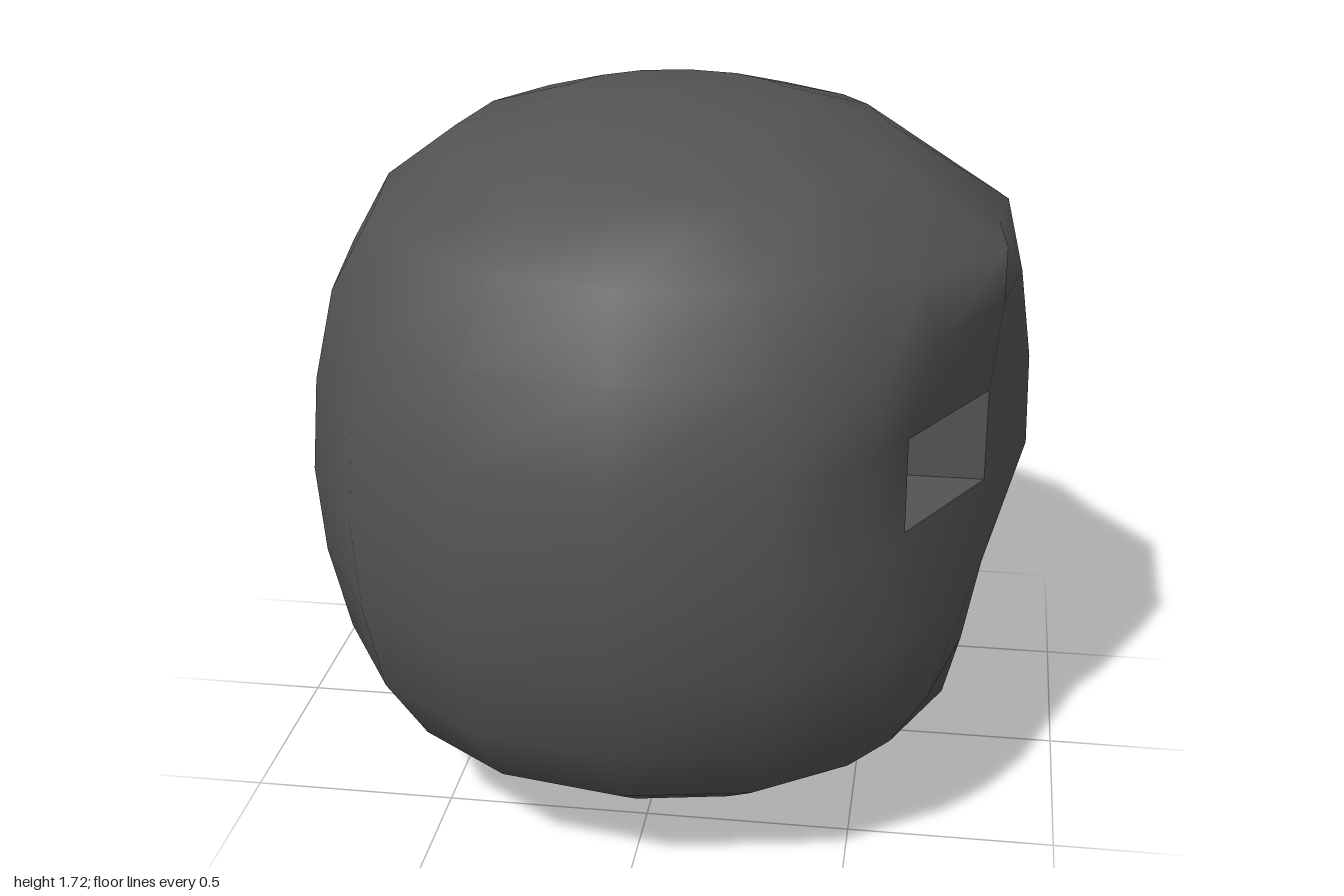
import * as THREE from 'three';

// Ring heights and ring sizes, bottom to top (poles are added separately)
const HEIGHTS = [0.03, 0.11, 0.24, 0.41, 0.63, 0.85, 1.08, 1.3, 1.48, 1.61, 1.69];
const SIZES = [0.33, 0.61, 0.81, 0.925, 0.98, 1, 0.98, 0.925, 0.81, 0.61, 0.33];

// Column angles of one half, from the face (+x) round to the rear (-x)
const HALF = [0, 12.8, 33.6, 46, 67.5, 90, 112.5, 135, 157.5, 180];
const ANGLES = [...HALF, ...HALF.slice(1, -1).reverse().map((a) => -a)];

// Sculpted x of the face, per ring: centre, inner eye, outer eye, temple
const FACE = {
  2: [0.725, 0.71],
  3: [0.755, 0.75, 0.68],
  4: [0.785, 0.79, 0.69, 0.6],
  5: [0.885, 0.785, 0.61, 0.57],
  6: [0.88, 0.785, 0.61, 0.53],
  7: [0.85, 0.81, 0.67, 0.57],
  8: [0.79, 0.81, 0.62],
};
const EYE = { bottom: 0.85, top: 1.08, inner: 0.25, outer: 0.58, back: 0.56, xInner: 0.785, xOuter: 0.61 };
const EYE_RING = 5;

const soft = (v) => Math.sign(v) * Math.abs(v) ** 0.92;

function headPoint(ring, col) {
  const a = THREE.MathUtils.degToRad(ANGLES[col]);
  const k = Math.min(col, ANGLES.length - col); // column counted from the face
  let x = -0.01 + 0.88 * SIZES[ring] * soft(Math.cos(a));
  let y = HEIGHTS[ring];
  let z = SIZES[ring] * soft(Math.sin(a));
  const row = FACE[ring];
  if (row && row[k] !== undefined) x = row[k];
  // straight eye opening
  if ((ring === EYE_RING || ring === EYE_RING + 1) && (k === 1 || k === 2)) {
    z = Math.sign(z) * (k === 1 ? EYE.inner : EYE.outer);
  }
  // lowered brow
  if (ring === 8 && k < 3) y = 1.42;
  return [x, y, z];
}

function headGeometry() {
  const n = ANGLES.length, m = HEIGHTS.length;
  const pos = [], idx = [];
  for (let i = 0; i < m; i++) for (let j = 0; j < n; j++) pos.push(...headPoint(i, j));
  pos.push(-0.01, 0, 0, -0.01, 1.72, 0);
  const low = n * m, high = low + 1;
  for (let j = 0; j < n; j++) {
    const j1 = (j + 1) % n;
    for (let i = 0; i < m - 1; i++) {
      if (i === EYE_RING && (j === 1 || j === n - 2)) continue; // eye openings
      const a = i * n + j, b = i * n + j1;
      idx.push(a, a + n, b, b, a + n, b + n);
    }
    idx.push(low, j, j1, high, (m - 1) * n + j1, (m - 1) * n + j);
  }
  const g = new THREE.BufferGeometry();
  g.setAttribute('position', new THREE.Float32BufferAttribute(pos, 3));
  g.setIndex(idx);
  g.computeVertexNormals();
  return g;
}

// Four walls from the slanted opening in to the flat back of the socket
function socketGeometry(side) {
  const { bottom, top, inner, outer, back, xInner, xOuter } = EYE;
  const rim = [[xInner, bottom, inner], [xOuter, bottom, outer], [xOuter, top, outer], [xInner, top, inner]];
  const pos = [];
  rim.forEach((p, i) => {
    const q = rim[(i + 1) % 4];
    const [a, b] = [p, q].map(([x, y, z]) => [x, y, z * side]);
    const c = [back, b[1], b[2]], d = [back, a[1], a[2]];
    const quad = side > 0 ? [a, b, c, a, c, d] : [a, c, b, a, d, c];
    pos.push(...quad.flat());
  });
  const g = new THREE.BufferGeometry();
  g.setAttribute('position', new THREE.Float32BufferAttribute(pos, 3));
  g.computeVertexNormals();
  return g;
}

export function createModel() {
  const model = new THREE.Group();
  model.name = 'roundHead';
  const dark = new THREE.MeshStandardMaterial({ color: 0x545454 });
  const wall = new THREE.MeshStandardMaterial({ color: 0x545454, side: THREE.DoubleSide });
  const yellow = new THREE.MeshStandardMaterial({ color: 0xffff10 });

  const add = (name, geometry, material) => {
    const mesh = new THREE.Mesh(geometry, material);
    mesh.name = name;
    model.add(mesh);
    return mesh;
  };

  add('head', headGeometry(), dark);

  // Eyes, mirrored across z
  for (const side of [1, -1]) {
    const label = side > 0 ? 'front' : 'back';
    add(label + 'EyeSocket', socketGeometry(side), wall);
    const eye = add(label + 'Eye', new THREE.PlaneGeometry(EYE.outer - EYE.inner, EYE.top - EYE.bottom), yellow);
    eye.rotation.y = Math.PI / 2;
    eye.position.set(EYE.back, (EYE.top + EYE.bottom) / 2, (side * (EYE.inner + EYE.outer)) / 2);
  }
  return model;
}
